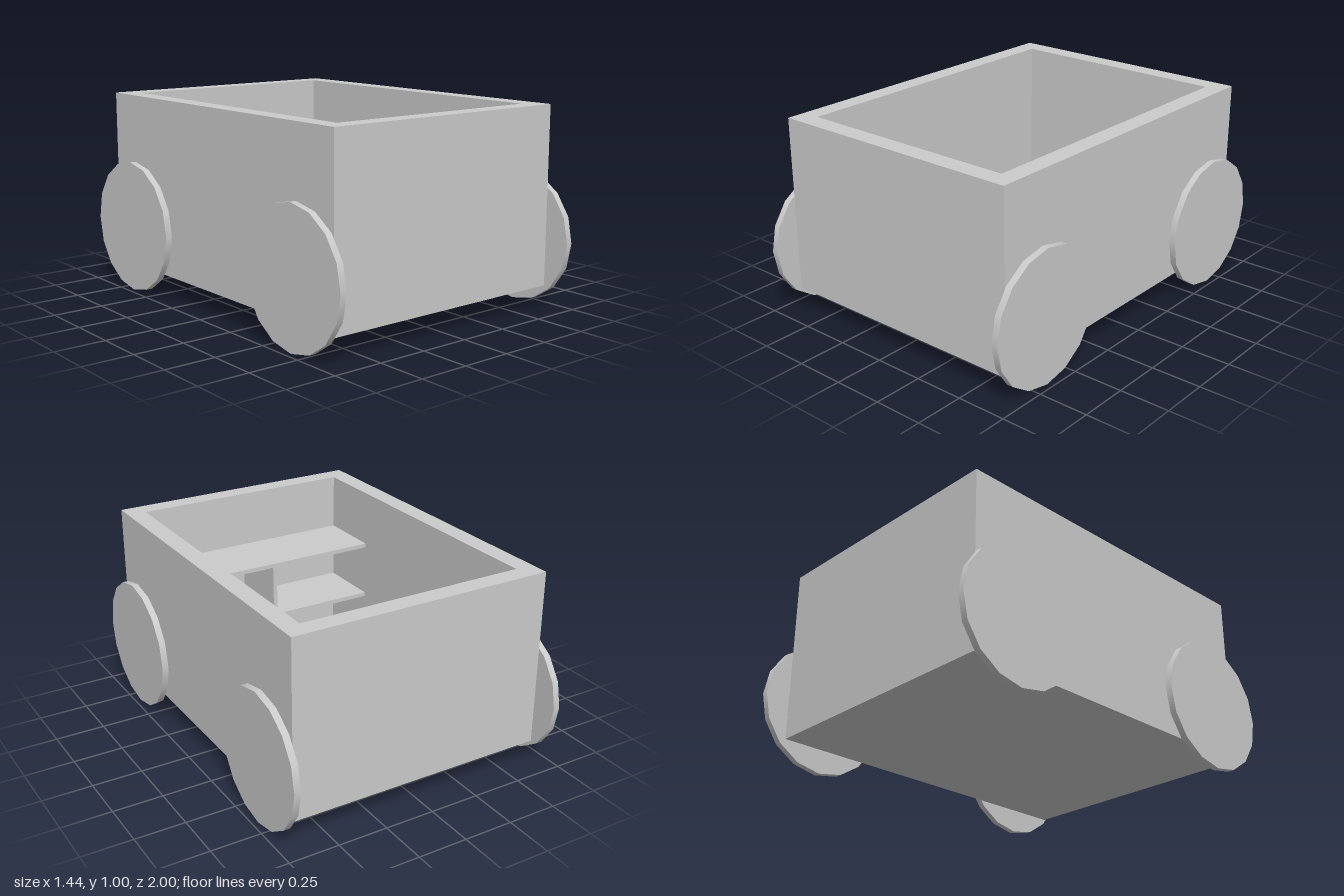
import * as THREE from 'three';

const material = new THREE.MeshStandardMaterial({ color: 0xcccccc });

function rectangle(target, halfW, halfL) {
  target.moveTo(-halfW, -halfL);
  target.lineTo(halfW, -halfL);
  target.lineTo(halfW, halfL);
  target.lineTo(-halfW, halfL);
  target.closePath();
  return target;
}

export function createModel() {
  const group = new THREE.Group();
  group.name = 'cart';

  const add = (name, geometry, x, y, z) => {
    const mesh = new THREE.Mesh(geometry, material);
    mesh.name = name;
    mesh.position.set(x, y, z);
    group.add(mesh);
    return mesh;
  };

  const bottom = 0.113, top = 1;
  const innerW = 0.57, innerL = 0.792;
  const board = 0.022;

  // Four thick walls, open at the top
  const outline = rectangle(new THREE.Shape(), 0.665, 0.888);
  outline.holes.push(rectangle(new THREE.Path(), innerW, innerL));
  const walls = new THREE.ExtrudeGeometry(outline, { depth: top - bottom, bevelEnabled: false });
  walls.rotateX(-Math.PI / 2);
  add('walls', walls, 0, bottom, 0);

  // Thin floor inside the walls
  add('floor', new THREE.BoxGeometry(innerW * 2, board, innerL * 2), 0, bottom + board / 2, 0);

  // Two shelves against the front wall, with an upright divider
  const shelfDepth = innerL - 0.455;
  const shelfZ = innerL - shelfDepth / 2;
  const shelfTops = [0.42, 0.712];
  for (const y of shelfTops) {
    add('shelf', new THREE.BoxGeometry(innerW * 2, board, shelfDepth), 0, y - board / 2, shelfZ);
  }
  let base = bottom + board;
  for (const y of shelfTops) {
    const height = y - board - base;
    add('shelfDivider', new THREE.BoxGeometry(board, height, shelfDepth), 0, base + height / 2, shelfZ);
    base = y;
  }

  // Four thin disc wheels standing just clear of the walls
  const wheel = new THREE.CylinderGeometry(0.333, 0.333, 0.033, 16);
  wheel.rotateZ(Math.PI / 2);
  for (const x of [-0.705, 0.705]) {
    for (const z of [-0.667, 0.667]) add('wheel', wheel, x, 0.333, z);
  }

  return group;
}
